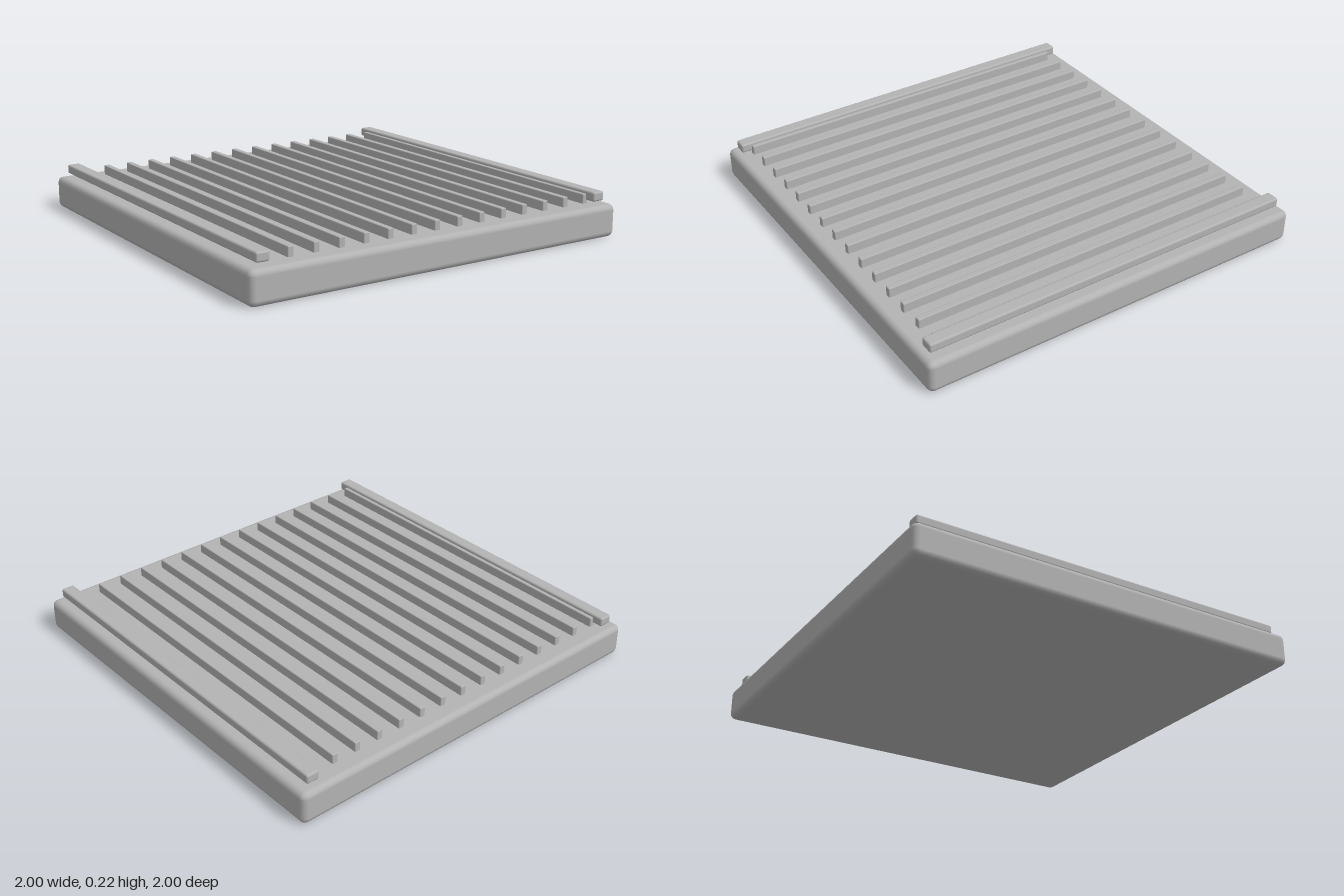
import * as THREE from 'three';
import { RoundedBoxGeometry } from 'three/addons/geometries/RoundedBoxGeometry.js';

export function createModel() {
  const model = new THREE.Group();
  model.name = 'ribbedPanel';

  const grey = new THREE.MeshStandardMaterial({ color: 0xb3b3b3 });
  grey.name = 'grey';

  // Rounded block spanning y0..y1, centred on x and z = 0
  function block(name, width, y0, y1, depth, radius, x = 0) {
    const geometry = new RoundedBoxGeometry(width, y1 - y0, depth, 2, radius);
    const mesh = new THREE.Mesh(geometry, grey);
    mesh.name = name;
    mesh.position.set(x, (y0 + y1) / 2, 0);
    model.add(mesh);
  }

  // Thick base slab
  block('base', 2, 0, 0.16, 2, 0.03);

  // Evenly spaced ribs running front to back
  for (let i = -7; i <= 7; i++) {
    block('rib', 0.03, 0.13, 0.207, 1.825, 0.005, i * 0.126);
  }

  // Raised side rails, carried by the outermost ribs
  for (const side of [-1, 1]) {
    block(side > 0 ? 'leftRail' : 'rightRail', 0.066, 0.176, 0.222, 1.93, 0.01, side * 0.918);
  }

  return model;
}
